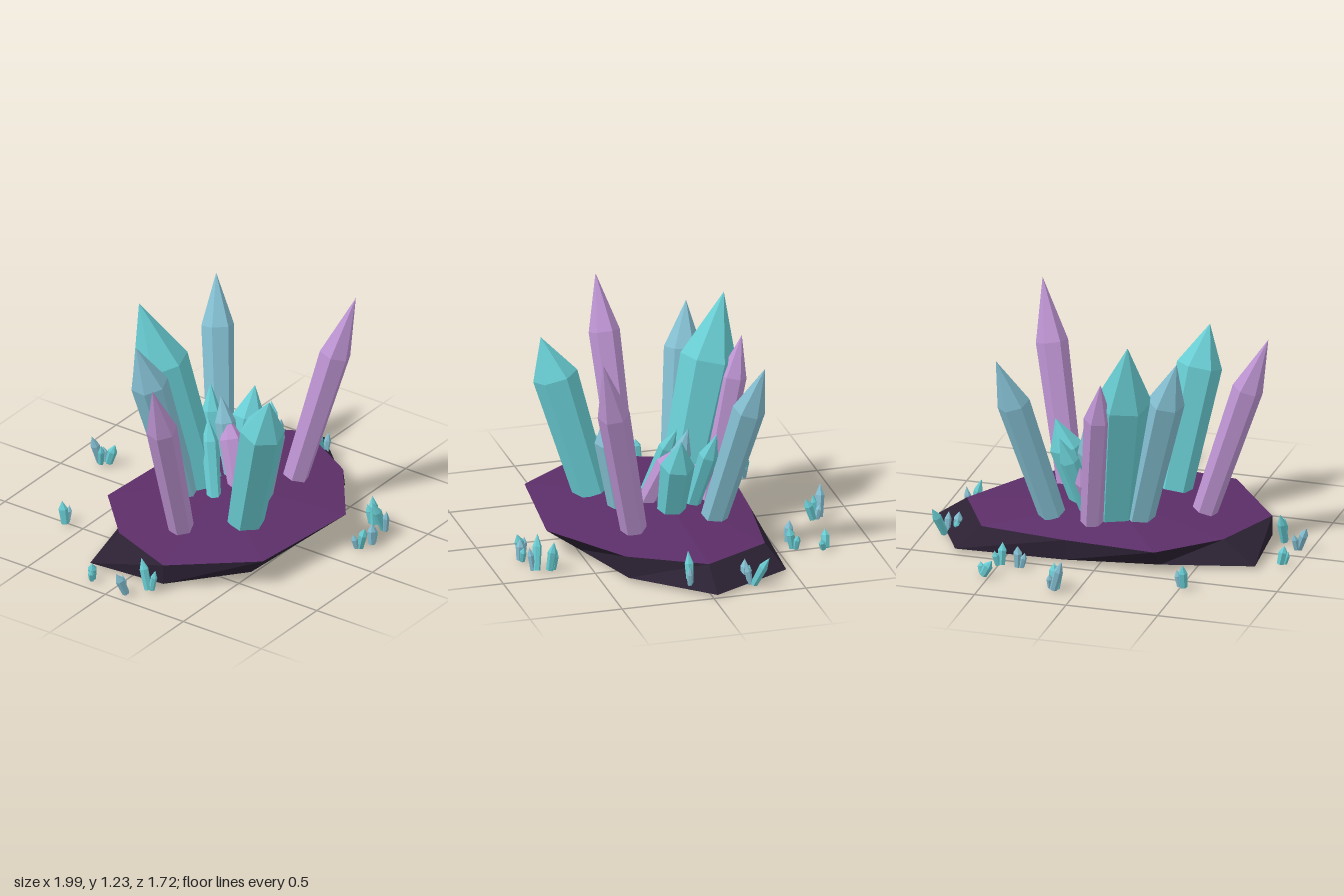
import * as THREE from 'three';

const mat = (name, color) => {
  const m = new THREE.MeshStandardMaterial({ color });
  m.name = name;
  return m;
};

// Skins a stack of equal-length rings; faces wind outwards when rings run counter-clockwise from above
function skin(rings, startCap, endCap) {
  const pos = [];
  const tri = (...pts) => pts.forEach((p) => pos.push(p.x, p.y, p.z));
  const n = rings[0].length;
  const last = rings[rings.length - 1];
  for (let i = 0; i < n; i++) {
    const j = (i + 1) % n;
    for (let k = 0; k + 1 < rings.length; k++) {
      const a = rings[k], b = rings[k + 1];
      tri(a[i], a[j], b[j]);
      tri(a[i], b[j], b[i]);
    }
    if (startCap) tri(startCap, rings[0][j], rings[0][i]);
    if (endCap) tri(endCap, last[i], last[j]);
  }
  const g = new THREE.BufferGeometry();
  g.setAttribute('position', new THREE.Float32BufferAttribute(pos, 3));
  g.computeVertexNormals();
  return g;
}

// Six-sided crystal: narrow foot, wide shoulder part way up, tip bending slightly outwards
function crystal(foot, tip, shoulderAt, r, twist) {
  const shoulder = foot.clone().lerp(tip, shoulderAt * 0.95);
  shoulder.y = THREE.MathUtils.lerp(foot.y, tip.y, shoulderAt);
  const axis = shoulder.clone().sub(foot).normalize();
  const u = new THREE.Vector3(1, 0, 0).addScaledVector(axis, -axis.x).normalize();
  const v = axis.clone().cross(u);
  const ring = (c, radius) => Array.from({ length: 6 }, (_, i) => {
    const a = twist + (i * Math.PI) / 3;
    return c.clone().addScaledVector(u, radius * Math.cos(a)).addScaledVector(v, radius * Math.sin(a));
  });
  return skin([ring(foot, r * 0.82), ring(shoulder, r)], foot, tip);
}

export function createModel() {
  const model = new THREE.Group();
  model.name = 'crystalCluster';
  const teal = mat('teal crystal', 0x68ccd2);
  const blue = mat('pale blue crystal', 0x84bfd2);
  const lilac = mat('lilac crystal', 0xbd94d2);
  const rockTop = mat('purple rock top', 0x5c2e68);
  const rockSide = mat('dark rock', 0x2b2133);
  const add = (parent, name, geo, m) => {
    const mesh = new THREE.Mesh(geo, m);
    mesh.name = name;
    parent.add(mesh);
  };
  const group = (name) => {
    const g = new THREE.Group();
    g.name = name;
    model.add(g);
    return g;
  };

  // Rock slab: irregular bottom and top outlines, paired corner by corner (x, z)
  const outline = (y, pts) => pts.map(([x, z]) => new THREE.Vector3(x, y + Math.max(0, z - 0.5) * 0.1, z));
  const low = outline(0.02, [[-0.8, -0.24], [-0.76, 0.2], [-0.39, 0.5], [0.21, 0.5], [0.65, 0.36],
    [1, -0.02], [0.77, -0.46], [0.18, -0.44], [-0.32, -0.36]]);
  const high = outline(0.13, [[-0.61, -0.19], [-0.76, 0.2], [-0.44, 0.61], [0.21, 0.68], [0.62, 0.37],
    [0.84, -0.02], [0.65, -0.38], [0.18, -0.44], [-0.32, -0.47]]);
  add(model, 'rockSides', skin([low, high], new THREE.Vector3(0, 0.02, 0)), rockSide);
  add(model, 'rockTop', skin([high], null, new THREE.Vector3(0.05, 0.21, 0)), rockTop);

  // Crystals on the slab: material, foot x z, tip x y z, shoulder fraction, radius
  const plant = (parent, name, specs) => specs.forEach(([m, x, z, tx, ty, tz, s, r], i) => {
    const foot = new THREE.Vector3(x, 0.17, z);
    add(parent, name + (i + 1), crystal(foot, new THREE.Vector3(tx, ty, tz), s, r, 0.3), m);
  });
  plant(group('mainCrystals'), 'mainCrystal', [
    [lilac, -0.43, 0.08, -0.76, 1.15, 0.13, 0.71, 0.082],
    [lilac, 0.36, 0.25, 0.58, 1.21, 0.48, 0.69, 0.085],
    [teal, -0.185, 0.32, -0.31, 1.02, 0.56, 0.75, 0.12],
    [teal, 0, -0.11, -0.15, 1.23, -0.39, 0.68, 0.15],
    [blue, -0.13, -0.12, -0.375, 1.11, -0.25, 0.75, 0.1],
    [blue, 0.32, -0.2, 0.565, 1.08, -0.405, 0.72, 0.087],
    [blue, 0.065, 0.23, 0.07, 0.71, 0.32, 0.71, 0.085],
    [teal, 0.2, 0, 0.36, 0.63, -0.01, 0.66, 0.09],
    [lilac, 0.09, -0.24, -0.02, 1.03, -0.45, 0.75, 0.075],
  ]);
  plant(group('middleCrystals'), 'middleCrystal', [
    [teal, -0.09, 0.05, 0.035, 0.56, -0.08, 0.72, 0.045],
    [lilac, 0.06, 0.1, 0.17, 0.52, -0.05, 0.7, 0.062],
    [blue, 0.14, 0.01, 0.18, 0.62, -0.1, 0.7, 0.055],
    [teal, 0.14, -0.13, 0.27, 0.61, -0.23, 0.7, 0.052],
    [lilac, 0.1, -0.14, 0.16, 0.46, -0.23, 0.7, 0.055],
  ]);

  // Loose shards on the ground: foot x z, height, lean x z; each has a shorter neighbour leaning away
  const shards = group('groundShards');
  [
    [-0.52, -0.6, 0.14, 0, -0.02],
    [0.12, -0.83, 0.18, -0.05, -0.02],
    [0.14, -0.79, 0.13, 0, 0.04],
    [0.53, -0.745, 0.1, -0.05, -0.01],
    [0.39, -0.58, 0.13, 0, -0.01],
    [0.48, -0.58, 0.13, 0, 0.02],
    [0.89, -0.25, 0.17, 0.05, -0.07],
    [0.84, -0.21, 0.13, -0.02, -0.01],
    [0.84, 0.08, 0.2, -0.05, 0],
    [-0.91, -0.145, 0.11, -0.02, 0.01],
    [-0.94, 0.09, 0.14, -0.05, -0.03],
    [-0.84, 0.16, 0.18, 0.01, -0.05],
    [0.17, 0.8, 0.13, 0, 0.03],
    [0.235, 0.83, 0.13, 0, 0],
    [0.4, 0.79, 0.19, -0.07, -0.025],
    [0.41, 0.72, 0.17, 0.01, -0.02],
  ].forEach(([x, z, h, dx, dz], i) => {
    const foot = new THREE.Vector3(x, 0.012, z);
    const tip = new THREE.Vector3(x + dx, h, z + dz);
    add(shards, `tallShard${i + 1}`, crystal(foot, tip, 0.65, 0.025, i), i % 3 === 1 ? blue : teal);
    const side = new THREE.Vector3(Math.cos(i * 2.4) * 0.02, 0, Math.sin(i * 2.4) * 0.02);
    const foot2 = foot.clone().add(side);
    const tip2 = foot2.clone().add(side).setY(h * 0.72);
    add(shards, `shortShard${i + 1}`, crystal(foot2, tip2, 0.65, 0.018, i + 0.5), i % 2 ? teal : blue);
  });
  return model;
}
